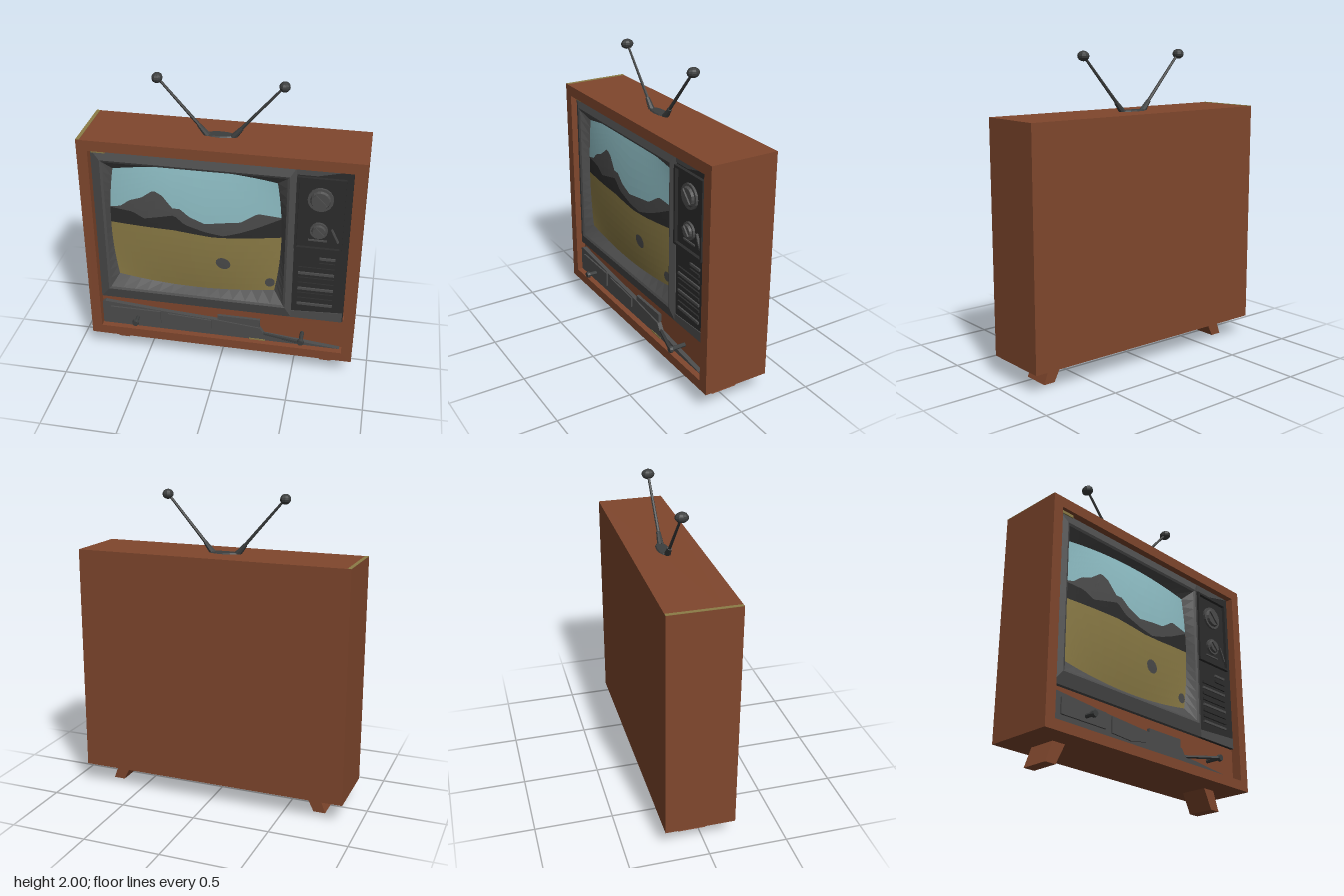
import * as THREE from 'three';

const mat = (name, color) => {
  const m = new THREE.MeshStandardMaterial({ color, flatShading: true });
  m.name = name;
  return m;
};

export function createModel() {
  const root = new THREE.Group();
  root.name = 'television';
  const wood = mat('wood brown', 0x80472d);
  const grey = mat('charcoal grey', 0x4c4c4c);
  const dark = mat('near black', 0x2c2c2c);
  const metal = mat('antenna grey', 0x3c3e3e);
  const sky = mat('sky blue', 0x8fbfc6);
  const olive = mat('field olive', 0x8c7c46);

  const add = (name, geo, material, x = 0, y = 0, z = 0) => {
    const m = new THREE.Mesh(geo, material);
    m.name = name;
    m.position.set(x, y, z);
    root.add(m);
    return m;
  };
  // box given by its limits
  const box = (name, material, x0, x1, y0, y1, z0, z1) =>
    add(name, new THREE.BoxGeometry(x1 - x0, y1 - y0, z1 - z0), material,
      (x0 + x1) / 2, (y0 + y1) / 2, (z0 + z1) / 2);
  const extrude = (name, material, pts, z0, z1, hole) => {
    const s = new THREE.Shape(pts.map(p => new THREE.Vector2(...p)));
    if (hole) s.holes.push(new THREE.Path(hole.map(p => new THREE.Vector2(...p))));
    return add(name, new THREE.ExtrudeGeometry(s, { depth: z1 - z0, bevelEnabled: false }), material, 0, 0, z0);
  };
  // tapered rod between two points
  const rod = (name, material, a, b, r0, r1, sides = 8) => {
    const p = new THREE.Vector3(...a), q = new THREE.Vector3(...b), d = q.clone().sub(p);
    const m = add(name, new THREE.CylinderGeometry(r1, r0, d.length(), sides), material);
    m.position.copy(p).add(q).multiplyScalar(0.5);
    m.quaternion.setFromUnitVectors(new THREE.Vector3(0, 1, 0), d.normalize());
    return m;
  };
  // surface through rows of points, facing the viewer when rows run inward or upward
  const loft = (name, material, rows) => {
    const pos = [];
    for (let j = 0; j < rows.length - 1; j++)
      for (let i = 0; i < rows[j].length - 1; i++) {
        const a = rows[j][i], b = rows[j][i + 1], c = rows[j + 1][i + 1], d = rows[j + 1][i];
        pos.push(...a, ...b, ...c, ...a, ...c, ...d);
      }
    const g = new THREE.BufferGeometry();
    g.setAttribute('position', new THREE.Float32BufferAttribute(pos, 3));
    g.computeVertexNormals();
    return add(name, g, material);
  };
  const rect = (x0, x1, y0, y1) => [[x0, y0], [x1, y0], [x1, y1], [x0, y1]];

  // cabinet
  box('cabinetBack', wood, -0.895, 0.895, 0.13, 1.615, -0.25, 0.08);
  extrude('cabinetFrame', wood, rect(-0.895, 0.895, 0.13, 1.615), 0.08, 0.195, rect(-0.825, 0.825, 0.195, 1.545));
  box('lowerPanel', wood, -0.825, 0.825, 0.195, 0.42, 0.08, 0.13);
  box('topEdgeStripe', olive, -0.895, -0.872, 1.613, 1.617, -0.25, 0.19);
  box('frameCornerFleck', olive, -0.81, -0.72, 1.525, 1.543, 0.165, 0.172);

  // splayed legs
  for (const s of [-1, 1]) {
    const pts = [[0.61, 0.14], [0.68, 0], [0.757, 0], [0.705, 0.14]].map(([x, y]) => [s * x, y]);
    extrude(s < 0 ? 'rightLeg' : 'leftLeg', wood, pts, -0.13, 0.05);
  }

  // bulging picture tube, u and v run from -1 to 1
  const cx = -0.17, cy = 0.995;
  const halfH = u => 0.4 + 0.045 * (1 - u * u);
  const screen = (u, v) => [
    cx + u * (0.525 + 0.035 * (1 - v * v)),
    cy + v * halfH(u),
    0.115 + 0.035 * (1 - u * u) * (1 - v * v)];

  // bezel: side walls, rim and slope down to the tube
  const n = 14, edge = [];
  for (const [u, v, du, dv] of [[-1, -1, 1, 0], [1, -1, 0, 1], [1, 1, -1, 0], [-1, 1, 0, -1]])
    for (let i = 0; i < n; i++) edge.push([u + du * 2 * i / n, v + dv * 2 * i / n]);
  edge.push(edge[0]);
  const frame = (x0, x1, y0, y1, z) =>
    edge.map(([u, v]) => [x0 + (x1 - x0) * (u + 1) / 2, y0 + (y1 - y0) * (v + 1) / 2, z]);
  loft('bezel', grey, [
    frame(-0.82, 0.475, 0.42, 1.54, 0.08), frame(-0.82, 0.475, 0.42, 1.54, 0.155),
    frame(-0.76, 0.435, 0.5, 1.475, 0.175), frame(-0.745, 0.42, 0.515, 1.46, 0.168),
    edge.map(([u, v]) => screen(u, v))]);

  // landscape bands on the tube
  const line = pts => u => {
    const x = cx + u * 0.56;
    let i = 0;
    while (i < pts.length - 2 && x > pts[i + 1][0]) i++;
    const [a, b] = [pts[i], pts[i + 1]];
    const t = Math.min(1, Math.max(0, (x - a[0]) / (b[0] - a[0])));
    return (a[1] + (b[1] - a[1]) * t - cy) / halfH(u);
  };
  const field = line([[-0.73, 1.0], [-0.3, 1.0], [-0.05, 0.975], [0.1, 0.98], [0.39, 1.005]]);
  const hills = line([[-0.73, 1.11], [-0.58, 1.1], [-0.5, 1.06], [-0.3, 1.11], [-0.23, 1.05], [-0.1, 1.01],
    [0.02, 0.99], [0.12, 1.02], [0.22, 1.06], [0.39, 1.14]]);
  const peaks = line([[-0.73, 1.115], [-0.66, 1.13], [-0.6, 1.18], [-0.52, 1.21], [-0.44, 1.27], [-0.38, 1.24],
    [-0.31, 1.16], [-0.26, 1.16], [-0.2, 1.11], [-0.1, 1.07], [0.04, 1.09], [0.13, 1.1], [0.24, 1.17], [0.39, 1.15]]);
  const band = (name, material, lo, hi, steps) => loft(name, material,
    Array.from({ length: steps + 1 }, (_, j) => Array.from({ length: 49 }, (_, i) => {
      const u = -1 + i / 24;
      return screen(u, lo(u) + (hi(u) - lo(u)) * j / steps);
    })));
  band('screenField', olive, () => -1, field, 8);
  band('screenHills', dark, field, hills, 2);
  band('screenMountains', grey, hills, peaks, 3);
  band('screenSky', sky, peaks, () => 1, 6);
  for (const [x, y, rx, ry] of [[0.018, 0.778, 0.05, 0.043], [0.325, 0.655, 0.032, 0.035]]) {
    const g = new THREE.CircleGeometry(1, 14).scale(rx, ry, 1).rotateZ(-0.5).translate(x, y, 0);
    const p = g.attributes.position;
    for (let i = 0; i < p.count; i++)
      p.setZ(i, screen((p.getX(i) - cx) / 0.56, (p.getY(i) - cy) / 0.44)[2] + 0.004);
    add('screenRock', g, grey);
  }

  // control panel
  box('controlBacking', dark, 0.47, 0.815, 0.42, 1.54, 0.08, 0.15);
  extrude('controlTopTrim', grey, [[0.45, 1.49], [0.6, 1.49], [0.81, 1.54], [0.45, 1.54]], 0.15, 0.156);
  extrude('controlBottomTrim', grey, [[0.45, 0.42], [0.81, 0.42], [0.81, 0.49], [0.45, 0.47]], 0.15, 0.156);
  extrude('dialPanelRim', dark, rect(0.475, 0.775, 0.97, 1.48), 0.15, 0.172, rect(0.49, 0.76, 0.985, 1.465));
  const dial = (name, y, r) => {
    rod(name + 'Base', grey, [0.625, y, 0.15], [0.625, y, 0.165], r, r, 16);
    rod(name + 'Cap', grey, [0.625, y, 0.165], [0.625, y, 0.18], r * 0.8, r * 0.7, 16);
    const grip = box(name + 'Grip', grey, 0.625 - r * 0.65, 0.625 + r * 0.65, y - 0.012, y + 0.012, 0.178, 0.19);
    grip.rotation.z = -0.8;
  };
  dial('channelDial', 1.33, 0.08);
  dial('volumeDial', 1.11, 0.056);
  box('panelSwitch', grey, 0.722, 0.732, 1.03, 1.13, 0.15, 0.165).rotation.z = 0.45;
  box('panelLabel', grey, 0.56, 0.68, 1.03, 1.04, 0.15, 0.158);
  // speaker slats
  for (let i = 0; i < 10; i++) {
    const y = 0.54 + i * 0.04;
    const x0 = i > 7 ? 0.64 : 0.51;
    box('speakerSlat', i % 3 ? dark : grey, x0, 0.74, y - 0.008, y + 0.008, 0.145, 0.16);
  }

  // lower drawer tapering to the model's left
  extrude('drawerBody', grey, [[-0.82, 0.2], [0.81, 0.2], [0.3, 0.25], [0.27, 0.295], [-0.05, 0.325],
    [-0.37, 0.345], [-0.8, 0.38], [-0.82, 0.37]], 0.13, 0.16);
  extrude('drawerFront', grey, rect(-0.76, -0.41, 0.245, 0.345), 0.16, 0.172);
  extrude('drawerMiddle', grey, [[-0.36, 0.235], [-0.2, 0.225], [-0.06, 0.25], [-0.06, 0.32], [-0.36, 0.335]], 0.16, 0.17);
  box('lowerSwitchBlock', grey, -0.02, 0.27, 0.29, 0.355, 0.13, 0.15);
  box('drawerFleck', olive, 0.2, 0.31, 0.197, 0.207, 0.158, 0.164);
  for (const x of [-0.57, 0.555]) {
    rod('knobStem', metal, [x, 0.28, 0.13], [x, 0.28, 0.235], 0.014, 0.014);
    rod('knobHead', metal, [x, 0.28, 0.228], [x, 0.28, 0.247], 0.024, 0.02, 10);
  }
  rod('lever', metal, [0.27, 0.245, 0.14], [0.555, 0.28, 0.235], 0.01, 0.014, 6);

  // antenna
  const base = add('antennaBase', new THREE.CylinderGeometry(0.8, 1, 1, 12), metal, -0.03, 1.616, -0.035);
  base.scale.set(0.11, 0.014, 0.045);
  for (const s of [-1, 1]) {
    const at = (x, y) => [-0.03 + s * x, y, -0.028];
    rod('antennaSleeve', metal, at(0.08, 1.61), at(0.135, 1.675), 0.022, 0.014);
    rod('antennaRod', metal, at(0.12, 1.66), at(0.385, 1.965), 0.011, 0.008, 6);
    const ball = add('antennaTip', new THREE.SphereGeometry(1, 10, 8), metal, ...at(0.39, 1.968));
    ball.scale.set(0.034, 0.032, 0.042);
  }
  return root;
}
